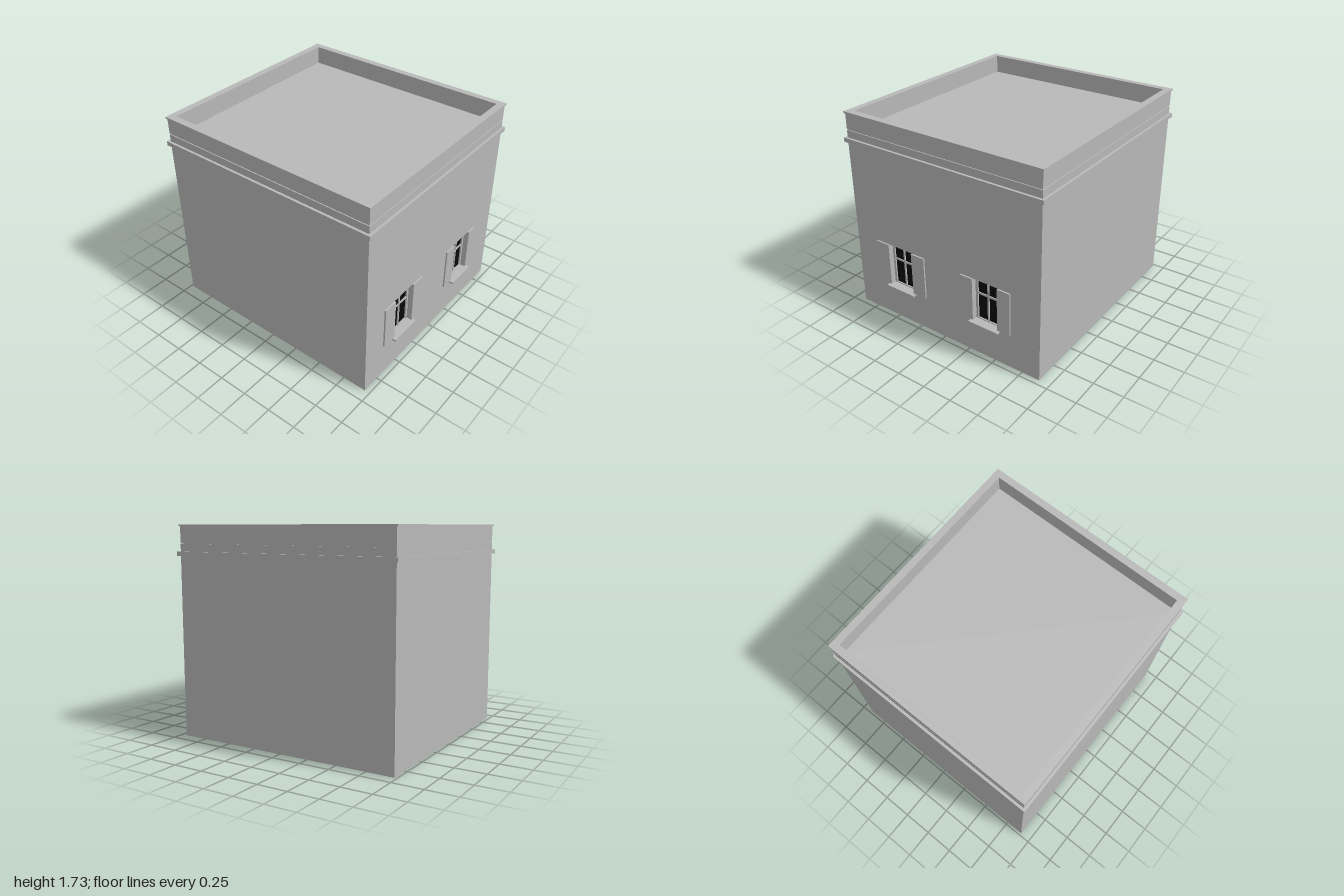
import * as THREE from 'three';

const stone = new THREE.MeshStandardMaterial({ color: 0xb8b8b8 });
stone.name = 'grey stone';
const dark = new THREE.MeshStandardMaterial({ color: 0x0b0b0b });
dark.name = 'dark glass';

const FRONT = 0.955, BACK = -0.98, MID = (FRONT + BACK) / 2;
const HALF_X = 0.905, HALF_Z = (FRONT - BACK) / 2;
const WALL_TOP = 1.577, REVEAL = 0.05;

// Box given by its minimum and maximum on each axis
function box(name, x0, x1, y0, y1, z0, z1, material = stone) {
  const mesh = new THREE.Mesh(new THREE.BoxGeometry(x1 - x0, y1 - y0, z1 - z0), material);
  mesh.position.set((x0 + x1) / 2, (y0 + y1) / 2, (z0 + z1) / 2);
  mesh.name = name;
  return mesh;
}

function rect(PathType, x0, x1, y0, y1) {
  return new PathType([[x0, y0], [x1, y0], [x1, y1], [x0, y1]].map(([x, y]) => new THREE.Vector2(x, y)));
}

// Rectangular ring running round the building; offsets are from the wall face
function ring(name, y0, y1, out, inset) {
  const a = HALF_X + out, b = HALF_Z + out, c = HALF_X - inset, d = HALF_Z - inset;
  const shape = rect(THREE.Shape, -a, a, -b, b);
  shape.holes.push(rect(THREE.Path, -c, c, -d, d));
  const geometry = new THREE.ExtrudeGeometry(shape, { depth: y1 - y0, bevelEnabled: false });
  geometry.rotateX(-Math.PI / 2);
  const mesh = new THREE.Mesh(geometry, stone);
  mesh.position.set(0, y0, MID);
  mesh.name = name;
  return mesh;
}

const windows = [
  { x0: -0.55, x1: -0.31, shutter: 0.13 },
  { x0: 0.30, x1: 0.53, shutter: 0.115 },
];
const SILL = 0.30, HEAD = 0.67;

function createWindow({ x0, x1, shutter }) {
  const g = new THREE.Group();
  g.name = 'window';
  const zb = FRONT - REVEAL, zf = zb + 0.018, cx = (x0 + x1) / 2, cy = 0.53;
  g.add(box('glass', x0, x1, SILL, HEAD, zb, zb + 0.006, dark));
  // frame and glazing bars
  g.add(box('frameLeft', x0, x0 + 0.02, SILL, HEAD, zb, zf));
  g.add(box('frameRight', x1 - 0.02, x1, SILL, HEAD, zb, zf));
  g.add(box('frameBottom', x0, x1, SILL, SILL + 0.008, zb, zf));
  g.add(box('frameTop', x0, x1, HEAD - 0.006, HEAD, zb, zf));
  g.add(box('mullion', cx - 0.007, cx + 0.007, SILL, HEAD, zb, zf - 0.002));
  g.add(box('transom', x0, x1, cy - 0.008, cy + 0.008, zb, zf - 0.004));
  // open shutters flat against the wall
  g.add(box('shutterLeft', x0 - shutter, x0, SILL, HEAD, FRONT, FRONT + 0.013));
  g.add(box('shutterRight', x1, x1 + shutter, SILL, HEAD, FRONT, FRONT + 0.013));
  g.add(box('sill', x0 - 0.022, x1 + 0.022, SILL - 0.016, SILL, FRONT - 0.01, 1.0));
  return g;
}

export function createModel() {
  const model = new THREE.Group();
  model.name = 'building';

  // Solid core, closed by the roof deck
  model.add(box('core', -HALF_X, HALF_X, 0, WALL_TOP, BACK, FRONT - REVEAL));

  // Front wall with window openings
  const wall = rect(THREE.Shape, -HALF_X, HALF_X, 0, WALL_TOP);
  for (const w of windows) wall.holes.push(rect(THREE.Path, w.x0, w.x1, SILL, HEAD));
  const front = new THREE.Mesh(
    new THREE.ExtrudeGeometry(wall, { depth: REVEAL, bevelEnabled: false }), stone);
  front.position.z = FRONT - REVEAL;
  front.name = 'frontWall';
  model.add(front);
  for (const w of windows) model.add(createWindow(w));

  // Cornice, shadow joint, parapet and coping
  model.add(ring('cornice', 1.48, 1.515, 0.021, 0.01));
  model.add(ring('parapetJoint', WALL_TOP, 1.585, -0.008, 0.05));
  model.add(ring('parapet', 1.585, 1.716, 0, 0.05));
  model.add(ring('coping', 1.716, 1.73, 0.009, 0.05));
  return model;
}
